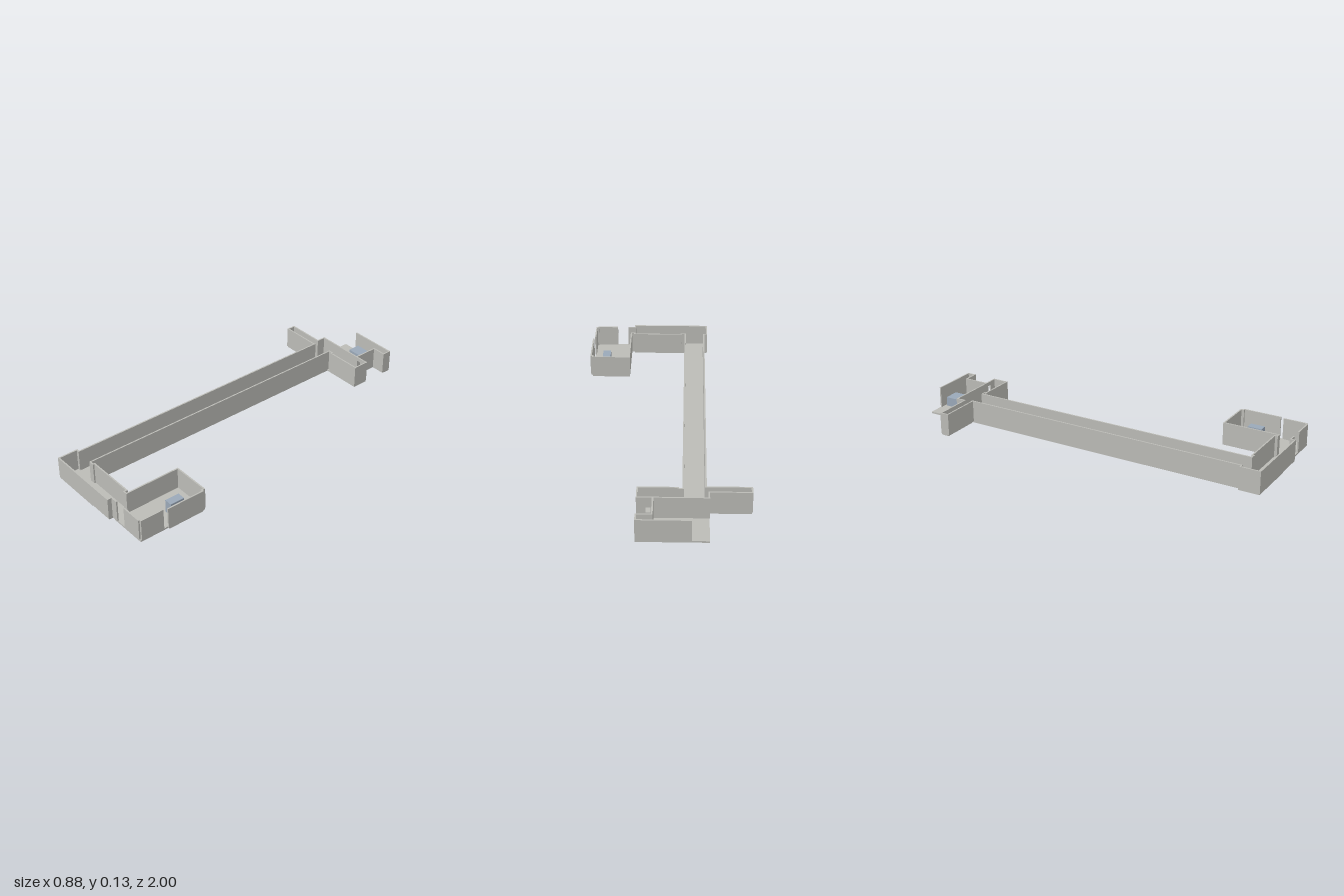
import * as THREE from 'three';

const HEIGHT = 0.126; // top of the walls
const SLAB = 0.009;   // floor thickness
const T = 0.008;      // wall thickness

export function createModel() {
  const model = new THREE.Group();
  const concrete = new THREE.MeshStandardMaterial({ color: 0xbbbbb6 });
  concrete.name = 'warm grey concrete';
  const blue = new THREE.MeshStandardMaterial({ color: 0x9aa8b8 });
  blue.name = 'pale blue';

  // Axis-aligned block given by its limits
  function block(name, x0, x1, y0, y1, z0, z1, material = concrete, parent = model) {
    const mesh = new THREE.Mesh(new THREE.BoxGeometry(x1 - x0, y1 - y0, z1 - z0), material);
    mesh.position.set((x0 + x1) / 2, (y0 + y1) / 2, (z0 + z1) / 2);
    mesh.name = name;
    parent.add(mesh);
  }

  // Thin wall following the centre line through [x, z] points
  function wall(name, points, y0 = SLAB * 0.9, y1 = HEIGHT) {
    const group = new THREE.Group();
    group.name = name;
    for (let i = 1; i < points.length; i++) {
      const [ax, az] = points[i - 1];
      const [bx, bz] = points[i];
      const h = T / 2;
      block('wallPanel', Math.min(ax, bx) - h, Math.max(ax, bx) + h, y0, y1,
        Math.min(az, bz) - h, Math.max(az, bz) + h, concrete, group);
    }
    model.add(group);
  }

  // Floor slabs: name, x range, z range
  const floors = [
    ['northRoomFloor', -0.232, 0.042, -0.998, -0.815],
    ['nicheFloor', 0.042, 0.12, -0.998, -0.95],
    ['junctionFloor', -0.232, 0.12, -0.815, -0.724],
    ['sideSpurFloor', -0.438, -0.232, -0.765, -0.722],
    ['corridorFloor', -0.218, -0.1, -0.724, 0.885],
    ['frontPassageFloor', -0.234, 0.055, 0.885, 0.998],
    ['frontPassageEndFloor', 0.055, 0.196, 0.885, 0.994],
    ['thresholdFloor', 0.196, 0.214, 0.897, 0.973],
    ['frontRoomFloor', 0.214, 0.428, 0.588, 0.975],
    ['frontRoomBayFloor', 0.428, 0.437, 0.605, 0.812],
  ];
  for (const [name, x0, x1, z0, z1] of floors) block(name, x0, x1, 0, SLAB, z0, z1);

  // Long corridor and front passage, west side
  wall('corridorWestWall', [[-0.214, -0.724], [-0.214, 0.889], [-0.231, 0.889], [-0.231, 0.996],
    [0.196, 0.996], [0.196, 0.973], [0.235, 0.973]]);
  // Corridor east side, round the inner corner into the front room
  wall('corridorEastWall', [[0.12 - T / 2, -0.811], [0.12 - T / 2, -0.728], [-0.08, -0.728],
    [-0.08, -0.736], [-0.104, -0.736], [-0.104, 0], [-0.104, 0.893], [-0.08, 0.893],
    [-0.08, 0.885], [0.196, 0.885], [0.196, 0.9], [0.216, 0.9], [0.216, 0.591],
    [0.426, 0.591], [0.426, 0.606], [0.436, 0.606], [0.436, 0.814]]);
  // Front room corner between its two openings
  wall('frontRoomCornerWall', [[0.304, 0.973], [0.415, 0.973], [0.415, 0.965],
    [0.426, 0.965], [0.426, 0.842]]);

  // Closed side spur and west end of the junction
  wall('sideSpurWall', [[-0.214, -0.721], [-0.436, -0.721], [-0.436, -0.764],
    [-0.229, -0.764], [-0.229, -0.813]]);

  // Wall between junction and north room, with a small opening
  wall('junctionNorthWall', [[-0.229, -0.813], [0.046, -0.813]]);
  wall('junctionNorthWallEnd', [[0.078, -0.813], [0.116, -0.813]]);
  wall('openingSill', [[0.046, -0.813], [0.078, -0.813]], SLAB * 0.9, 0.04);
  wall('openingLintel', [[0.046, -0.813], [0.078, -0.813]], 0.105, HEIGHT);

  // North room: back wall, niche and east wall
  wall('northRoomWall', [[-0.144, -0.996], [0.116, -0.996], [0.116, -0.951],
    [0.04, -0.951], [0.04, -0.813]]);

  // Furniture blocks
  block('frontRoomDesk', 0.33, 0.375, SLAB, 0.08, 0.675, 0.755, blue);
  block('northRoomDesk', -0.115, -0.03, SLAB, 0.06, -0.98, -0.91, blue);

  return model;
}
